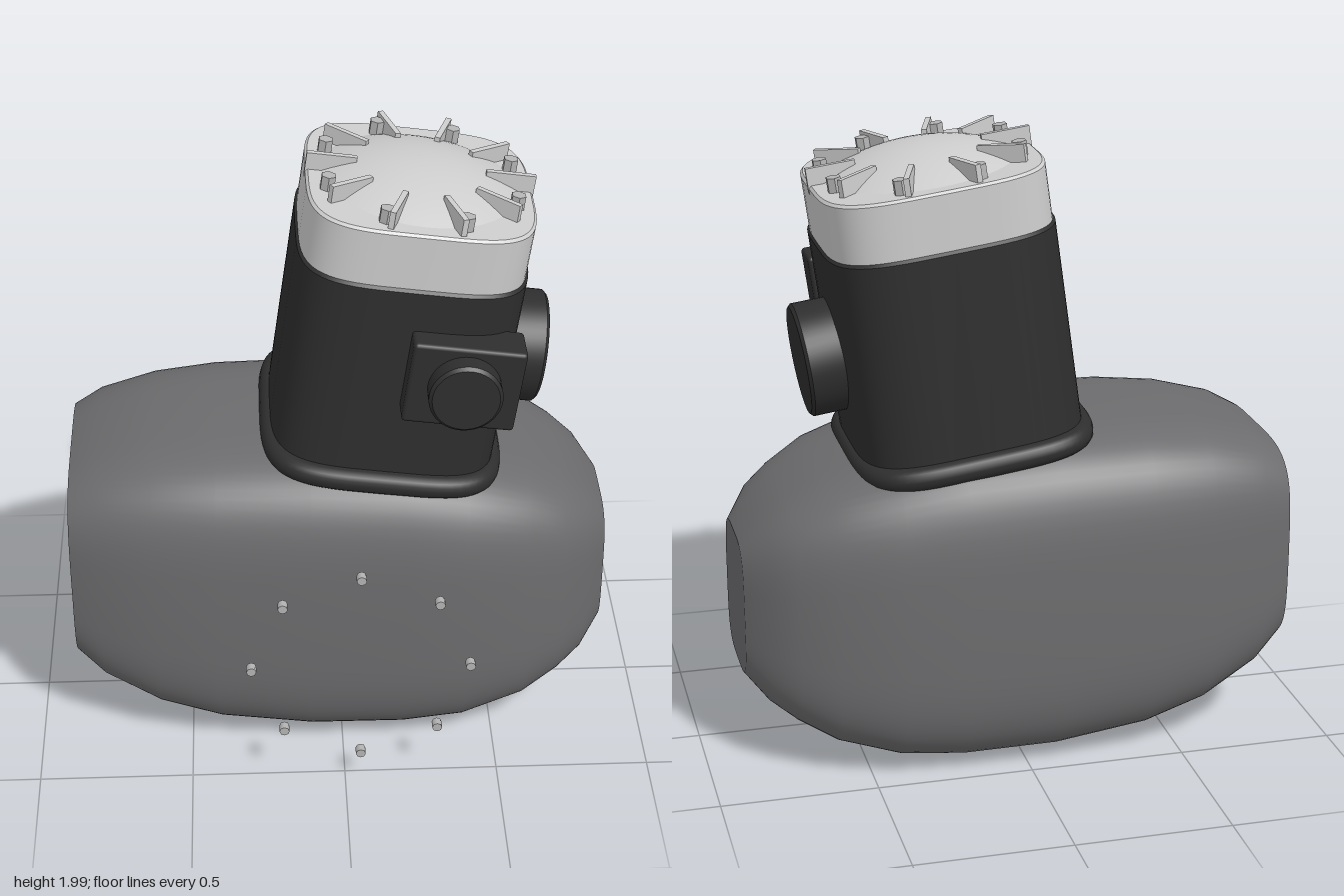
import * as THREE from 'three';
import { toCreasedNormals } from 'three/addons/utils/BufferGeometryUtils.js';
import { RoundedBoxGeometry } from 'three/addons/geometries/RoundedBoxGeometry.js';

const SIDES = 64;

// Closed loft of soft squares along y; each ring is [height, centreX, halfX, halfZ]
function softSquareLoft(rings) {
  const positions = [], index = [];
  const root = (v) => Math.sign(v) * Math.sqrt(Math.abs(v));
  for (const [h, cx, a, b] of rings) {
    for (let j = 0; j < SIDES; j++) {
      const t = (j / SIDES) * Math.PI * 2;
      positions.push(cx + a * root(Math.cos(t)), h, b * root(Math.sin(t)));
    }
  }
  const last = rings.length - 1;
  const bottom = rings.length * SIDES, top = bottom + 1;
  positions.push(rings[0][1], rings[0][0], 0, rings[last][1], rings[last][0], 0);
  for (let j = 0; j < SIDES; j++) {
    const k = (j + 1) % SIDES;
    for (let i = 0; i < last; i++) {
      const a = i * SIDES + j, b = i * SIDES + k;
      index.push(a, a + SIDES, b, b, a + SIDES, b + SIDES);
    }
    index.push(bottom, j, k, top, last * SIDES + k, last * SIDES + j);
  }
  const g = new THREE.BufferGeometry();
  g.setAttribute('position', new THREE.Float32BufferAttribute(positions, 3));
  g.setIndex(index);
  return toCreasedNormals(g, 0.5);
}

// Cylinder with a small bevel on its upper rim
function bevelDisc(radius, height, bevel) {
  const profile = [[0, 0], [radius, 0], [radius, height - bevel], [radius - bevel, height], [0, height]];
  const g = new THREE.LatheGeometry(profile.map(([x, y]) => new THREE.Vector2(x, y)), 48);
  return toCreasedNormals(g, 0.5);
}

export function createModel() {
  const material = (name, color) => Object.assign(new THREE.MeshStandardMaterial({ color }), { name });
  const grey = material('body grey', 0x6c6c6e);
  const black = material('tower black', 0x2e2e2e);
  const silver = material('cap silver', 0xcccccc);
  const steel = material('bolt steel', 0xb4b4b4);

  const model = new THREE.Group();
  model.name = 'model';
  function add(parent, name, geometry, mat, x = 0, y = 0, z = 0) {
    const mesh = new THREE.Mesh(geometry, mat);
    mesh.name = name;
    mesh.position.set(x, y, z);
    parent.add(mesh);
    return mesh;
  }

  // Main body: stations of [x, bottom, top, half depth]
  const stations = [
    [-0.87, 0.30, 0.97, 0.365], [-0.78, 0.21, 1.02, 0.405], [-0.6, 0.11, 1.065, 0.45],
    [-0.4, 0.05, 1.085, 0.475], [-0.1, 0.012, 1.09, 0.485], [0.2, 0.01, 1.075, 0.483],
    [0.4, 0.03, 1.035, 0.47], [0.6, 0.09, 0.97, 0.42], [0.72, 0.16, 0.9, 0.36],
    [0.8, 0.22, 0.84, 0.30], [0.87, 0.30, 0.75, 0.197],
  ];
  const body = softSquareLoft(stations.map(([x, lo, hi, d]) => [x, -(lo + hi) / 2, (hi - lo) / 2, d]));
  body.rotateZ(-Math.PI / 2);
  add(model, 'body', body, grey, 0, 0, -0.06);

  // Ring of studs standing off the front face
  const studs = new THREE.Group();
  studs.name = 'studs';
  studs.position.set(0.05, 0.47, 0.528);
  model.add(studs);
  for (let i = 0; i < 8; i++) {
    const t = (i * Math.PI) / 4;
    const stud = add(studs, 'stud', new THREE.CylinderGeometry(0.016, 0.016, 0.03, 8), steel,
      0.35 * Math.cos(t), 0.35 * Math.sin(t));
    stud.rotation.x = Math.PI / 2;
  }

  // Tilted tower
  const tower = new THREE.Group();
  tower.name = 'tower';
  tower.position.set(0.135, 1.069, -0.06);
  tower.rotation.z = -0.138;
  model.add(tower);

  const straight = (y0, y1, a, b, bevel) => softSquareLoft([
    [y0, 0, a, b], [y1 - bevel, 0, a, b], [y1, 0, a - bevel, b - bevel],
  ]);
  add(tower, 'column', straight(-0.1, 0.66, 0.361, 0.37, 0.012), black);
  add(tower, 'cap', straight(0.65, 0.84, 0.354, 0.361, 0.008), silver);

  // Rounded collar where the tower meets the body
  const collar = [];
  for (let i = 0; i <= 8; i++) {
    const t = -Math.PI / 2 + (i * Math.PI) / 8;
    const out = 0.03 * Math.cos(t);
    collar.push([-0.033 + 0.036 * Math.sin(t), 0, 0.36 + out, 0.383 + out]);
  }
  add(tower, 'collar', softSquareLoft(collar), black);

  // Shallow dome on the cap
  const dome = [];
  for (let i = 0; i <= 10; i++) {
    const r = 0.31 * (1 - i / 10);
    dome.push(new THREE.Vector2(r, 0.838 + 0.074 * (1 - (r / 0.31) ** 2)));
  }
  add(tower, 'dome', new THREE.LatheGeometry(dome, 48), silver);

  // Radial ribs and hexagonal bolts
  for (let i = 0; i < 10; i++) {
    const t = (i * Math.PI) / 5;
    const rib = add(tower, 'rib', new THREE.BoxGeometry(0.155, 0.08, 0.018), silver,
      0.278 * Math.cos(t), 0.855, -0.278 * Math.sin(t));
    rib.rotation.y = t;
  }
  for (let i = 0; i < 8; i++) {
    const t = ((i + 0.5) * Math.PI) / 4;
    const bolt = new THREE.CylinderGeometry(0.024, 0.024, 0.06, 6);
    add(tower, 'bolt', toCreasedNormals(bolt, 0.5), steel, 0.315 * Math.cos(t), 0.855, 0.315 * Math.sin(t));
  }

  // Round side cover, front housing and its knob
  const cover = add(tower, 'sideCover', bevelDisc(0.18, 0.14, 0.01), black, 0.333, 0.295, 0);
  cover.rotation.z = -Math.PI / 2;
  add(tower, 'frontHousing', new RoundedBoxGeometry(0.348, 0.276, 0.14, 2, 0.012), black, 0.179, 0.382, 0.38);
  const knob = add(tower, 'frontKnob', bevelDisc(0.113, 0.08, 0.01), black, 0.179, 0.382, 0.436);
  knob.rotation.x = Math.PI / 2;

  return model;
}
